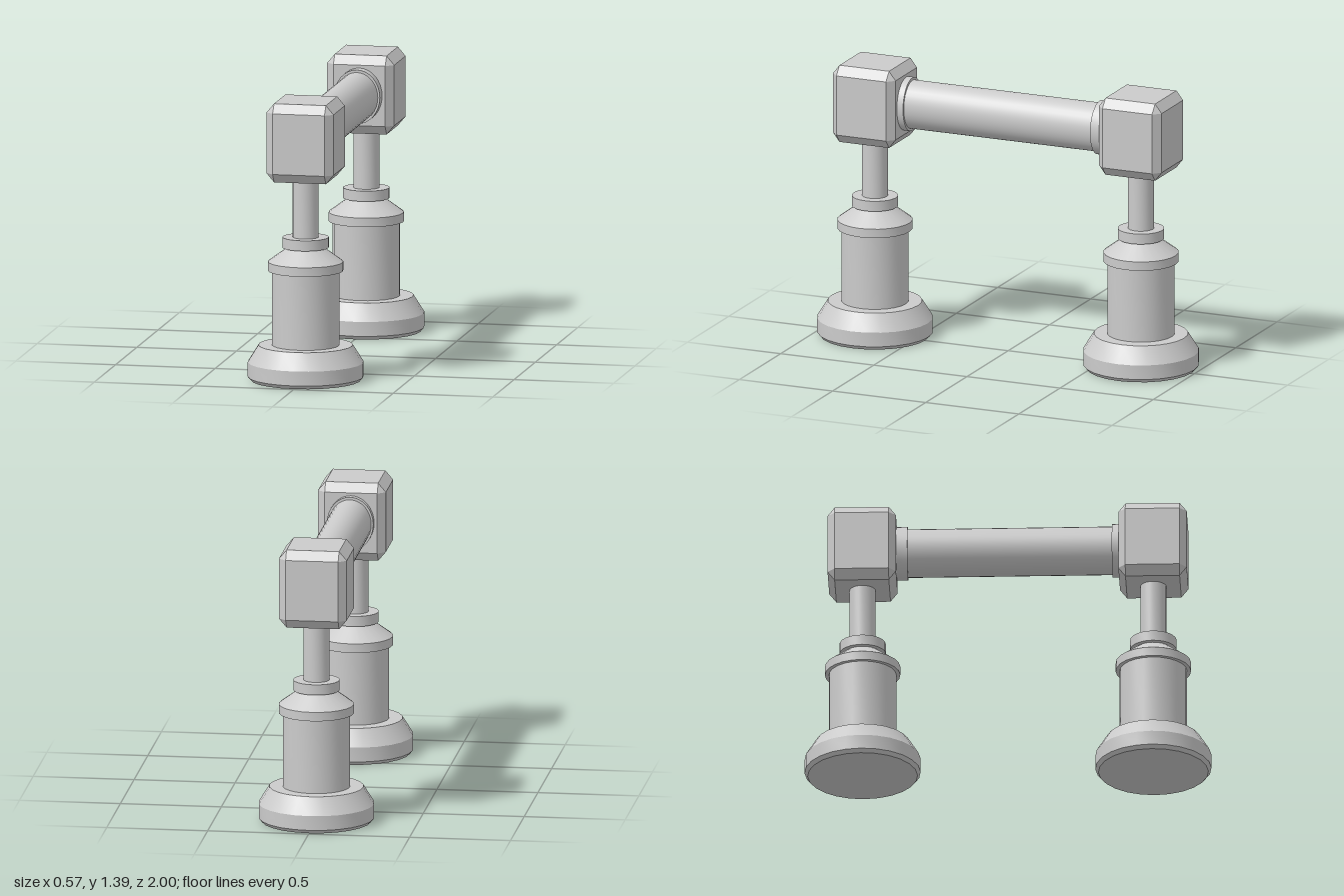
import * as THREE from 'three';
import { toCreasedNormals } from 'three/addons/utils/BufferGeometryUtils.js';
import { ConvexGeometry } from 'three/addons/geometries/ConvexGeometry.js';

const material = new THREE.MeshStandardMaterial({ color: 0xcccccc });

function part(name, geometry) {
  const mesh = new THREE.Mesh(geometry, material);
  mesh.name = name;
  return mesh;
}

// Closed turned solid from [radius, height] pairs, with sharp profile corners
function turned(profile, sides = 24) {
  const points = profile.map(([r, y]) => new THREE.Vector2(r, y));
  points.unshift(new THREE.Vector2(0, profile[0][1]));
  points.push(new THREE.Vector2(0, profile[profile.length - 1][1]));
  return toCreasedNormals(new THREE.LatheGeometry(points, sides), 0.45);
}

// Box with flat chamfered edges and triangular corners
function chamferedBox(w, h, d, c) {
  const points = [];
  for (const x of [-1, 1]) for (const y of [-1, 1]) for (const z of [-1, 1]) {
    for (let full = 0; full < 3; full++) {
      const half = [w / 2, h / 2, d / 2].map((s, i) => (i === full ? s : s - c[i]));
      points.push(new THREE.Vector3(x * half[0], y * half[1], z * half[2]));
    }
  }
  return new ConvexGeometry(points);
}

// Oval bar along z, centred on the beam axis
function ovalBar(name, rx, ry, z0, z1) {
  const geometry = new THREE.CylinderGeometry(1, 1, z1 - z0, 32).rotateX(Math.PI / 2);
  geometry.scale(rx, ry, 1);
  const mesh = part(name, toCreasedNormals(geometry, 0.45));
  mesh.position.set(0, 1.2, (z0 + z1) / 2);
  return mesh;
}

function createPost(name) {
  const post = new THREE.Group();
  post.name = name;
  post.add(part('foot', turned([[0.27, 0], [0.285, 0.018], [0.285, 0.09], [0.232, 0.175]])));
  post.add(part('column', turned([[0.166, 0.16], [0.166, 0.56]])));
  post.add(part('shoulder', turned([[0.185, 0.545], [0.185, 0.59], [0.087, 0.662]])));
  post.add(part('collar', turned([[0.114, 0.66], [0.114, 0.712]])));
  post.add(part('rod', turned([[0.064, 0.7], [0.064, 1.02]])));
  const head = part('head', chamferedBox(0.336, 0.392, 0.336, [0.038, 0.045, 0.035]));
  head.position.y = 1.198;
  post.add(head);
  return post;
}

export function createModel() {
  const model = new THREE.Group();
  model.name = 'barrier';

  // Two matching posts
  for (const [name, z] of [['frontPost', 0.715], ['backPost', -0.713]]) {
    const post = createPost(name);
    post.position.z = z;
    model.add(post);
  }

  // Cross beam and its end rings
  model.add(ovalBar('beam', 0.105, 0.122, -0.6, 0.6));
  model.add(ovalBar('frontBeamRing', 0.115, 0.135, 0.514, 0.57));
  model.add(ovalBar('backBeamRing', 0.115, 0.135, -0.57, -0.49));
  return model;
}
